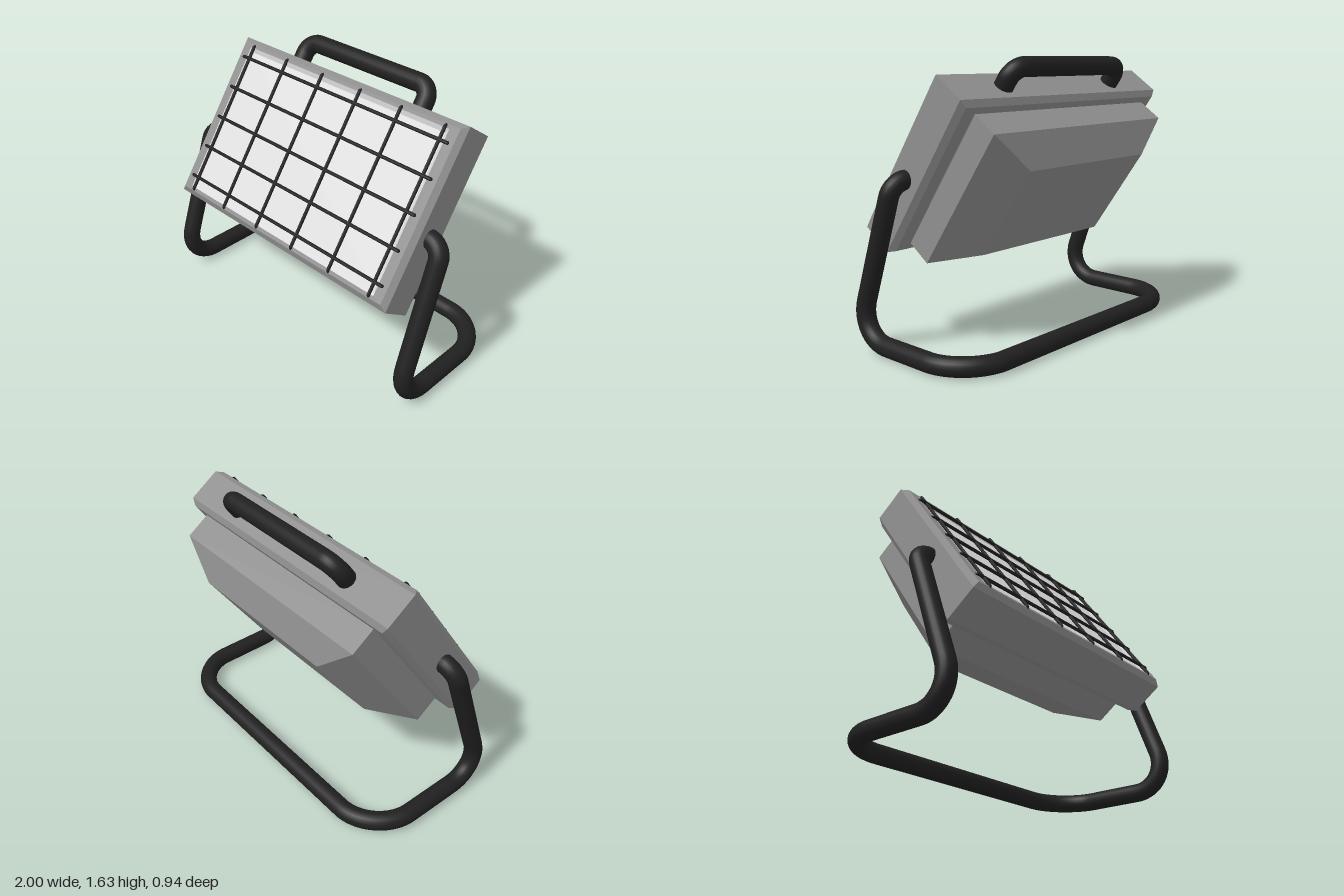
import * as THREE from 'three';

const V = (x, y, z) => new THREE.Vector3(x, y, z);

const bodyGrey = new THREE.MeshStandardMaterial({ color: 0x8f8f8f });
const tubeBlack = new THREE.MeshStandardMaterial({ color: 0x202020 });
const panelWhite = new THREE.MeshStandardMaterial({ color: 0xdedede });
bodyGrey.name = 'body grey';
tubeBlack.name = 'tube black';
panelWhite.name = 'panel white';

function add(parent, name, geometry, material) {
  const mesh = new THREE.Mesh(geometry, material);
  mesh.name = name;
  parent.add(mesh);
  return mesh;
}

// Flat-faced loft through rectangles [half width, half height, z], back to front
function loft(sections, capBack, capFront) {
  const pos = [];
  const index = [];
  for (const [hx, hy, z] of sections) {
    pos.push(hx, -hy, z, hx, hy, z, -hx, hy, z, -hx, -hy, z);
  }
  for (let i = 0; i < sections.length - 1; i++) {
    for (let j = 0; j < 4; j++) {
      const a = i * 4 + j;
      const b = i * 4 + (j + 1) % 4;
      index.push(a, b, b + 4, a, b + 4, a + 4);
    }
  }
  const e = (sections.length - 1) * 4;
  if (capBack) index.push(0, 2, 1, 0, 3, 2);
  if (capFront) index.push(e, e + 1, e + 2, e, e + 2, e + 3);
  const indexed = new THREE.BufferGeometry();
  indexed.setAttribute('position', new THREE.Float32BufferAttribute(pos, 3));
  indexed.setIndex(index);
  const geometry = indexed.toNonIndexed();
  geometry.computeVertexNormals();
  return geometry;
}

// Tube along a polyline; cuts[i] is the length rounded off at inner corner i
function bentTube(points, cuts, radius, segments, sides) {
  const path = new THREE.CurvePath();
  let start = points[0];
  for (let i = 1; i < points.length - 1; i++) {
    const corner = points[i];
    const cut = cuts[i - 1];
    const a = corner.clone().add(points[i - 1].clone().sub(corner).setLength(cut));
    const b = corner.clone().add(points[i + 1].clone().sub(corner).setLength(cut));
    path.add(new THREE.LineCurve3(start, a));
    path.add(new THREE.CubicBezierCurve3(a, a.clone().lerp(corner, 0.52), b.clone().lerp(corner, 0.52), b));
    start = b;
  }
  path.add(new THREE.LineCurve3(start, points[points.length - 1]));
  return new THREE.TubeGeometry(path, segments, radius, sides);
}

export function createModel() {
  const model = new THREE.Group();
  model.name = 'floodlight';

  // Tilted lamp head; local z points out of the lamp face
  const head = new THREE.Group();
  head.name = 'lampHead';
  const tilt = THREE.MathUtils.degToRad(35);
  head.rotation.x = -tilt;
  head.position.set(0, 0.82 * Math.cos(tilt), -0.82 * Math.sin(tilt));
  model.add(head);

  // Chamfered housing, open where the light panel sits
  add(head, 'housing', loft([
    [0.83, 0.495, 0.53], [0.86, 0.525, 0.56], [0.86, 0.525, 0.77],
    [0.83, 0.495, 0.80], [0.77, 0.473, 0.80],
  ], true, false), bodyGrey);

  // Light panel with its sloped rim
  add(head, 'lightPanel', loft([[0.77, 0.473, 0.80], [0.745, 0.448, 0.78]], false, true), panelWhite);

  // Tapered rear casing
  add(head, 'rearCasing', loft([
    [0.51, 0.305, 0.22], [0.745, 0.453, 0.367], [0.745, 0.453, 0.535],
  ], true, false), bodyGrey);

  // Wire guard with ends hooked into the frame
  const guard = new THREE.Group();
  guard.name = 'wireGuard';
  head.add(guard);
  for (let i = 0; i < 6; i++) {
    const x = (i - 2.5) * 0.297;
    add(guard, 'verticalWire', bentTube(
      [V(x, -0.487, 0.78), V(x, -0.487, 0.804), V(x, 0.487, 0.804), V(x, 0.487, 0.78)],
      [0.012, 0.012], 0.01, 120, 8), tubeBlack);
  }
  for (let i = 0; i < 5; i++) {
    const y = (i - 2) * 0.202;
    add(guard, 'horizontalWire', bentTube(
      [V(-0.797, y, 0.78), V(-0.797, y, 0.806), V(0.797, y, 0.806), V(0.797, y, 0.78)],
      [0.012, 0.012], 0.01, 160, 8), tubeBlack);
  }

  // Carrying handle on top
  add(head, 'handle', bentTube(
    [V(-0.47, 0.5, 0.653), V(-0.47, 0.652, 0.653), V(0.47, 0.652, 0.653), V(0.47, 0.5, 0.653)],
    [0.08, 0.08], 0.055, 90, 20), tubeBlack);

  // Stand: one bent tube from pivot to pivot, around the back on the floor
  const half = [
    V(0.8, 0.985, 0.125), V(0.945, 0.985, 0.125), V(0.945, 0.056, 0.455), V(0.945, 0.056, -0.415),
  ];
  const mirrored = half.map((p) => V(-p.x, p.y, p.z)).reverse();
  add(model, 'stand', bentTube([...half, ...mirrored],
    [0.09, 0.25, 0.28, 0.28, 0.25, 0.09], 0.055, 260, 20), tubeBlack);

  return model;
}
